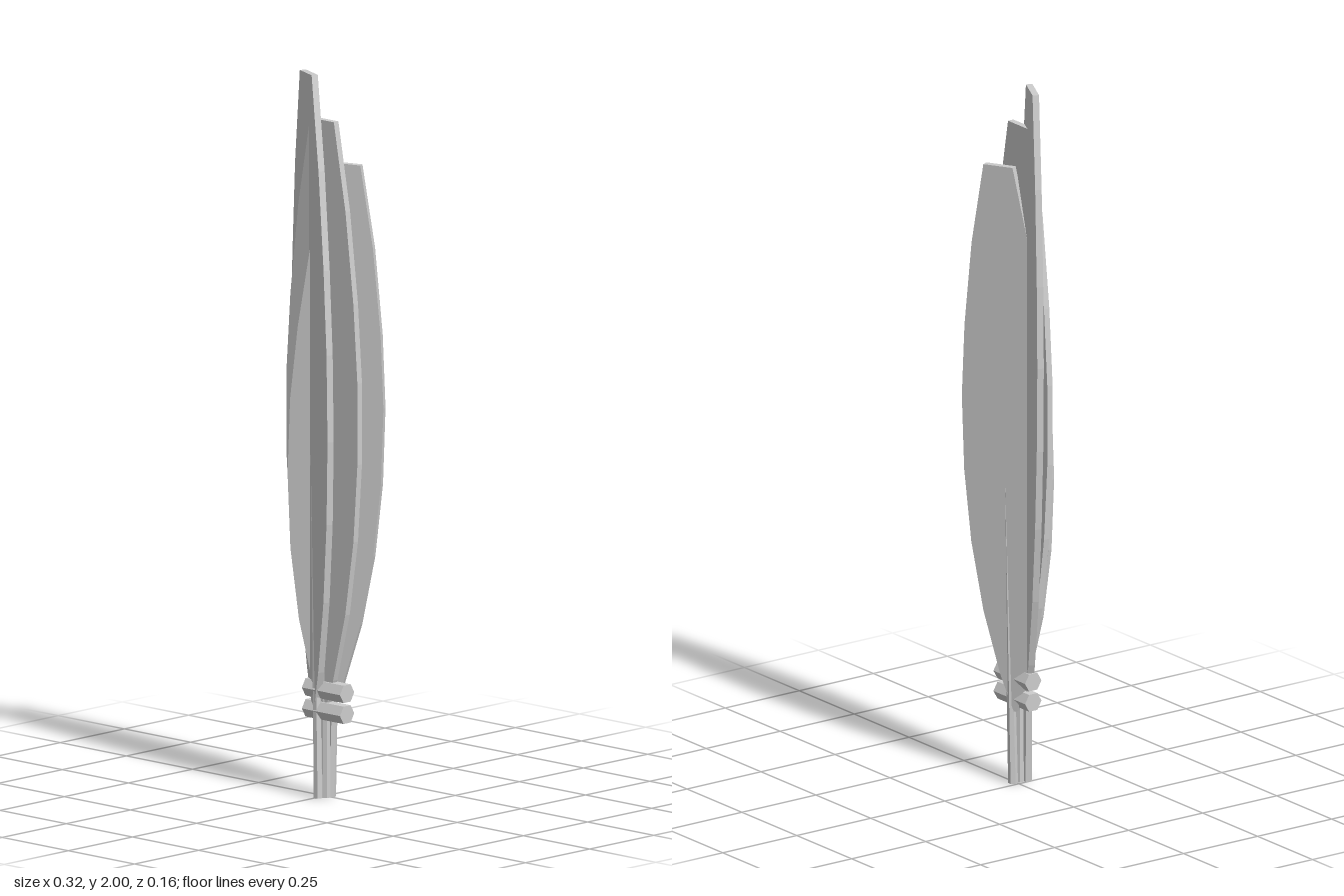
import * as THREE from 'three';

const grey = new THREE.MeshStandardMaterial({ color: 0xcccccc, flatShading: true });
grey.name = 'pale grey';

// half of the feather outline: [half width, height]
const EDGE = [
  [0.004, 0.235], [0.042, 0.35], [0.088, 0.55], [0.119, 0.77], [0.134, 1.0],
  [0.134, 1.24], [0.119, 1.47], [0.089, 1.74], [0.045, 1.998],
];
const THICK = 0.018;

function mesh(geometry, name) {
  const m = new THREE.Mesh(geometry, grey);
  m.name = name;
  return m;
}

// flat blade with blunt tip, tapering quill running up its middle
function feather(name, scale, quillFoot) {
  const g = new THREE.Group();
  g.name = name;
  const right = EDGE.map(([w, y]) => new THREE.Vector2(w, y * scale));
  const left = EDGE.map(([w, y]) => new THREE.Vector2(-w, y * scale)).reverse();
  const blade = new THREE.ExtrudeGeometry(new THREE.Shape([...right, ...left]), {
    depth: THICK, bevelEnabled: false,
  });
  blade.translate(0, 0, -THICK / 2);
  g.add(mesh(blade, 'blade'));

  const from = new THREE.Vector3(quillFoot, 0, 0);
  const to = new THREE.Vector3(0, 1.85 * scale, 0);
  const dir = to.clone().sub(from);
  const quill = mesh(new THREE.CylinderGeometry(0.005, 0.0135, dir.length(), 6), 'quill');
  quill.position.copy(from).add(to).multiplyScalar(0.5);
  quill.quaternion.setFromUnitVectors(new THREE.Vector3(0, 1, 0), dir.normalize());
  g.add(quill);
  return g;
}

export function createModel() {
  const model = new THREE.Group();
  model.name = 'featherBundle';

  // three crossing feathers: turn about y, lean within their own plane
  const turn = THREE.MathUtils.degToRad(25);
  const feathers = [
    { name: 'tallFeather', scale: 1, x: 0, z: 0.03, turn: -turn, lean: 0.032, foot: 0.009 },
    { name: 'middleFeather', scale: 0.94, x: 0.0105, z: 0.0135, turn: 0, lean: 0, foot: 0.006 },
    { name: 'shortFeather', scale: 0.88, x: 0, z: 0, turn: turn, lean: -0.034, foot: 0.018 },
  ];
  for (const f of feathers) {
    const g = feather(f.name, f.scale, f.foot);
    g.position.set(f.x, 0, f.z);
    g.rotation.set(0, f.turn, f.lean);
    model.add(g);
  }

  // two hexagonal binding rods across the quills
  [0.241, 0.299].forEach((y, i) => {
    const rod = mesh(new THREE.CylinderGeometry(0.0278, 0.0278, 0.144, 6), i ? 'upperBinding' : 'lowerBinding');
    rod.rotation.z = Math.PI / 2;
    rod.position.set(0.026, y, 0.0145);
    model.add(rod);
  });

  return model;
}
